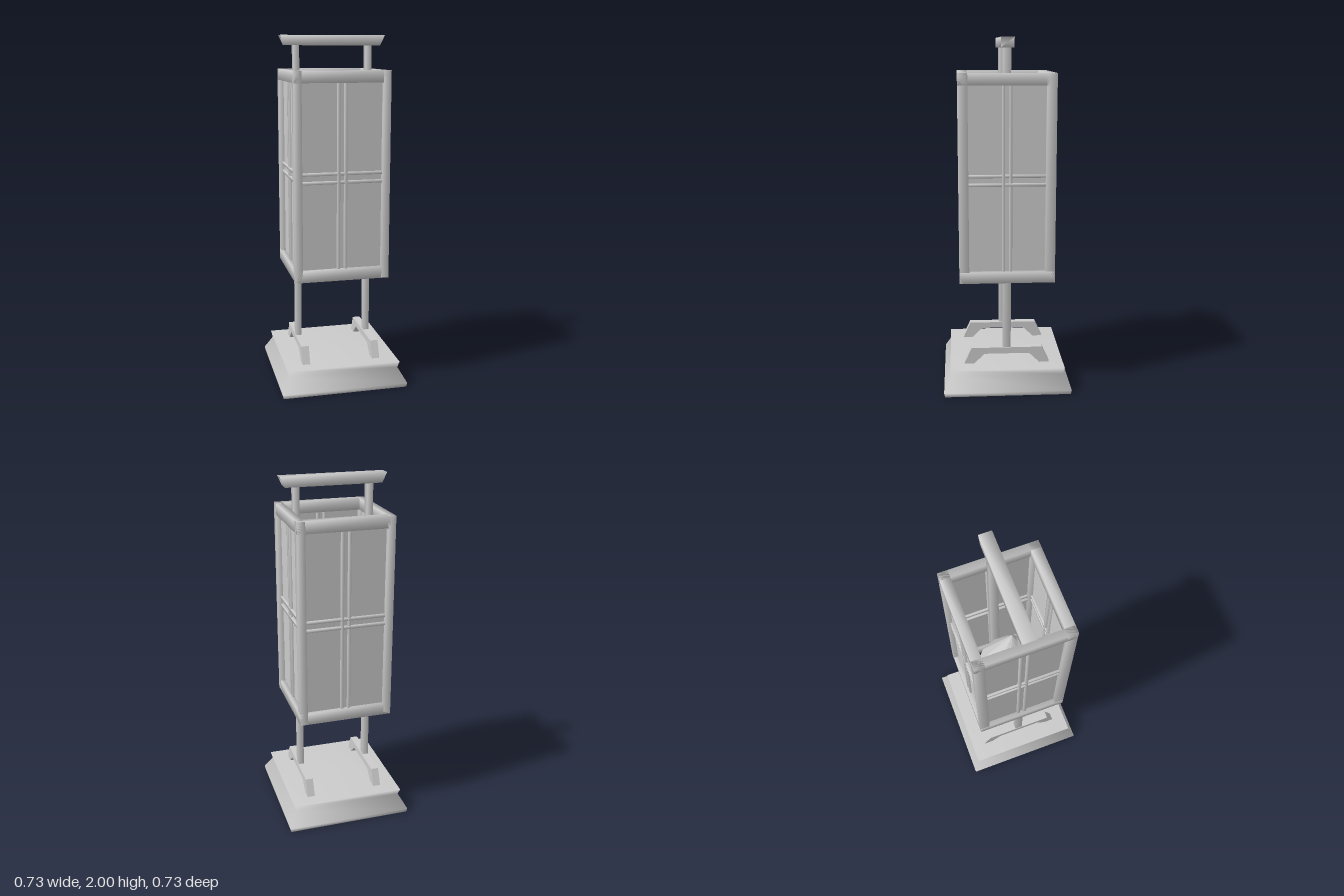
import * as THREE from 'three';
import { mergeVertices } from 'three/addons/utils/BufferGeometryUtils.js';
import { ConvexGeometry } from 'three/addons/geometries/ConvexGeometry.js';

const material = new THREE.MeshStandardMaterial({ color: 0xcccccc });
const thin = new THREE.MeshStandardMaterial({ color: 0xcccccc, side: THREE.DoubleSide });

function add(parent, name, geometry, x = 0, y = 0, z = 0, mat = material) {
  const mesh = new THREE.Mesh(geometry, mat);
  mesh.name = name;
  mesh.position.set(x, y, z);
  parent.add(mesh);
  return mesh;
}

// Box whose corners share soft normals; bottomScale narrows its underside along x
function softBox(w, h, d, bottomScale = 1) {
  let g = new THREE.BoxGeometry(w, h, d);
  g.deleteAttribute('normal');
  g.deleteAttribute('uv');
  g = mergeVertices(g);
  const p = g.attributes.position;
  for (let i = 0; i < p.count; i++) if (p.getY(i) < 0) p.setX(i, p.getX(i) * bottomScale);
  g.computeVertexNormals();
  return g;
}

export function createModel() {
  const model = new THREE.Group();
  model.name = 'standingLantern';

  // Square plinth with a flared skirt
  const r = Math.SQRT2;
  const profile = [[0, 0], [0.36, 0], [0.365, 0.025], [0.318, 0.108], [0.328, 0.145], [0, 0.145]]
    .map(([x, y]) => new THREE.Vector2(x * r, y));
  add(model, 'base', new THREE.LatheGeometry(profile, 4, Math.PI / 4));

  // Bracket feet and the posts standing on them
  const footShape = new THREE.Shape([
    [-0.25, 0.14], [-0.195, 0.14], [-0.13, 0.203], [0.13, 0.203],
    [0.195, 0.14], [0.25, 0.14], [0.205, 0.24], [-0.205, 0.24],
  ].map(([x, y]) => new THREE.Vector2(x, y)));
  for (const [side, s] of [['left', 1], ['right', -1]]) {
    const footGeometry = new THREE.ExtrudeGeometry(footShape, { depth: 0.044, bevelEnabled: false });
    footGeometry.translate(0, 0, -0.022).rotateY(Math.PI / 2);
    add(model, side + 'Foot', footGeometry, s * 0.207);
    add(model, side + 'Post', softBox(0.034, 1.74, 0.046), s * 0.209, 1.08, 0);
  }

  // Top bar with undercut ends, and the bar joining the posts inside the shade
  add(model, 'topBar', softBox(0.6, 0.056, 0.072, 0.91), 0, 1.972, 0);
  add(model, 'crossBar', softBox(0.42, 0.04, 0.04), 0, 0.69, 0);

  // Shade frame: corner uprights plus rails at top and bottom
  const shade = new THREE.Group();
  shade.name = 'shade';
  model.add(shade);
  const midY = 1.227;
  for (const sx of [-1, 1]) {
    for (const sz of [-1, 1]) {
      add(shade, 'cornerUpright', softBox(0.043, 1.168, 0.056), sx * 0.2485, midY, sz * 0.242);
    }
  }
  for (const y of [0.6755, 1.7785]) {
    for (const s of [-1, 1]) {
      add(shade, 'frontBackRail', softBox(0.54, 0.065, 0.056), 0, y, s * 0.242);
      add(shade, 'sideRail', softBox(0.043, 0.065, 0.54), s * 0.2485, y, 0);
    }
  }

  // Four thin panels, each crossed by paired glazing bars
  for (let i = 0; i < 4; i++) {
    const wall = new THREE.Group();
    wall.name = 'shadeWall';
    wall.rotation.y = i * Math.PI / 2;
    shade.add(wall);
    const out = 0.243;
    const width = i % 2 ? 0.44 : 0.47;
    add(wall, 'panel', new THREE.PlaneGeometry(width, 1.06), 0, midY, out, thin);
    for (const s of [-1, 1]) {
      add(wall, 'verticalBar', softBox(0.017, 1.06, 0.024), s * 0.02, midY, out);
      add(wall, 'horizontalBar', softBox(width, 0.017, 0.024), 0, midY + s * 0.024, out);
    }
  }

  // Faceted flame inside the shade
  const ring = [
    [0, -0.175], [0.065, -0.125], [0.1, -0.04], [0.1, 0.035], [0.065, 0.122],
    [0, 0.117], [-0.125, 0.122], [-0.16, 0.035], [-0.16, -0.04], [-0.125, -0.125],
  ];
  const points = [new THREE.Vector3(0, 1.36, 0.03)];
  for (const [x, z] of ring) {
    points.push(new THREE.Vector3(x, 1.12, z), new THREE.Vector3(x * 0.5, 1.0, z * 0.5));
  }
  add(model, 'flame', new ConvexGeometry(points));

  return model;
}
